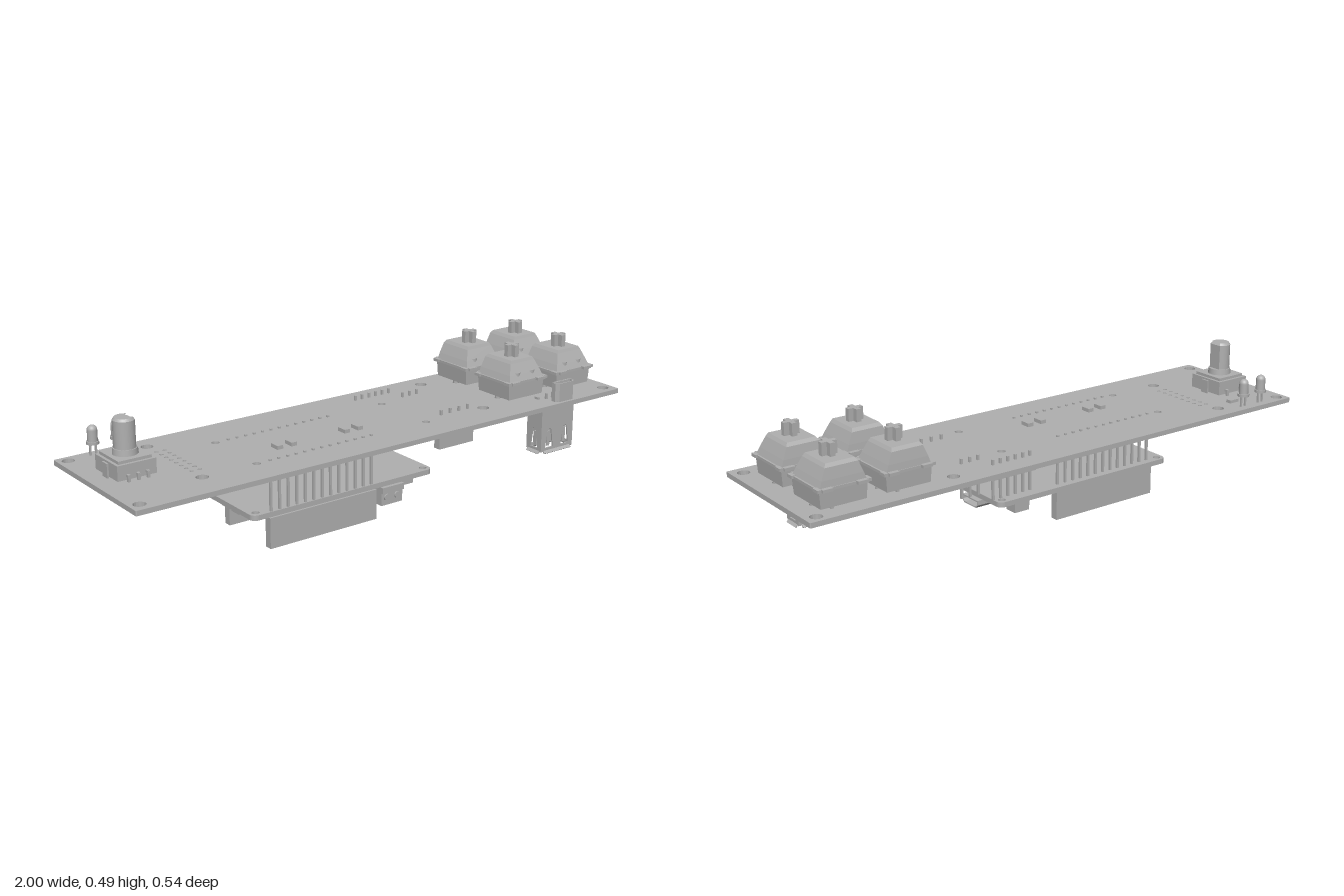
import * as THREE from 'three';

export function createModel() {
  const model = new THREE.Group();
  const grey = new THREE.MeshStandardMaterial({ color: 0xb0b0b0 });
  grey.name = 'plain grey';

  const add = (name, geo, x = 0, y = 0, z = 0, parent = model) => {
    const m = new THREE.Mesh(geo, grey);
    m.name = name;
    m.position.set(x, y, z);
    parent.add(m);
    return m;
  };
  const group = (name, x = 0, y = 0, z = 0) => {
    const g = new THREE.Group();
    g.name = name;
    g.position.set(x, y, z);
    model.add(g);
    return g;
  };
  // box given by its limits on each axis
  const block = (name, x0, x1, y0, y1, z0, z1, parent) =>
    add(name, new THREE.BoxGeometry(x1 - x0, y1 - y0, z1 - z0), (x0 + x1) / 2, (y0 + y1) / 2, (z0 + z1) / 2, parent);
  const pin = (name, x, z, y0, y1, w = 0.008, parent) =>
    block(name, x - w / 2, x + w / 2, y0, y1, z - w / 2, z + w / 2, parent);
  const rod = (name, x, z, y0, y1, r0, r1 = r0, parent) =>
    add(name, new THREE.CylinderGeometry(r1, r0, y1 - y0, 20), x, (y0 + y1) / 2, z, parent);
  const row = (n, a, b, fn) => {
    for (let i = 0; i < n; i++) fn(a + (b - a) * i / (n - 1));
  };

  // tapered box: limits [x0, x1, z0, z1] at the bottom and at the top
  const taper = (name, y0, b, y1, t, parent) => {
    const geo = new THREE.BoxGeometry(2, 2, 2).toNonIndexed();
    const p = geo.attributes.position;
    for (let i = 0; i < p.count; i++) {
      const up = p.getY(i) > 0, r = up ? t : b;
      p.setXYZ(i, r[p.getX(i) > 0 ? 1 : 0], up ? y1 : y0, r[p.getZ(i) > 0 ? 3 : 2]);
    }
    geo.computeVertexNormals();
    return add(name, geo, 0, 0, 0, parent);
  };

  // rounded circuit board with round holes [x, z, radius]
  const board = (name, x0, x1, z0, z1, y, h, r, holes) => {
    const s = new THREE.Shape();
    s.absarc(x1 - r, -z0 - r, r, 0, Math.PI / 2);
    s.absarc(x0 + r, -z0 - r, r, Math.PI / 2, Math.PI);
    s.absarc(x0 + r, -z1 + r, r, Math.PI, Math.PI * 1.5);
    s.absarc(x1 - r, -z1 + r, r, Math.PI * 1.5, Math.PI * 2);
    for (const [hx, hz, hr] of holes) {
      s.holes.push(new THREE.Path().absarc(hx, -hz, hr, 0, Math.PI * 2, true));
    }
    const geo = new THREE.ExtrudeGeometry(s, { depth: h, bevelEnabled: false, curveSegments: 8 });
    geo.rotateX(-Math.PI / 2);
    return add(name, geo, 0, y, 0);
  };

  const TOP = 0.297, UNDER = 0.28;
  const keys = [];
  for (const x of [0.63, 0.86]) for (const z of [-0.145, 0.087]) keys.push([x, z]);

  // main board
  const holes = [];
  for (const x of [-0.965, 0.96]) for (const z of [-0.235, 0.228]) holes.push([x, z, 0.021]);
  for (const x of [-0.7, 0.45]) for (const z of [-0.203, 0.145]) holes.push([x, z, 0.021]);
  for (const x of [-0.5, 0.19]) for (const z of [-0.103, 0.145]) holes.push([x, z, 0.014]);
  for (const x of [-0.7, -0.67]) row(8, -0.14, 0.08, z => holes.push([x, z, 0.007]));
  for (const [x, z] of keys) holes.push([x, z, 0.026], [x - 0.06, z, 0.012], [x + 0.06, z, 0.012]);
  board('mainBoard', -1, 1, -0.27, 0.27, UNDER, TOP - UNDER, 0.004, holes);

  // small surface chips
  for (const x of [-0.365, -0.31, -0.095, -0.04]) block('surfaceChip', x - 0.011, x + 0.011, TOP, 0.31, 0.04, 0.078);
  block('surfaceChip', -0.815, -0.775, TOP, 0.308, -0.19, -0.168);

  // lower board with its headers
  const corners = [];
  for (const x of [-0.5, 0.19]) for (const z of [-0.103, 0.13]) corners.push([x, z, 0.013]);
  board('lowerBoard', -0.525, 0.215, -0.127, 0.155, 0.107, 0.018, 0.022, corners);
  for (const z of [-0.1, 0.148]) {
    block('headerSocket', -0.465, -0.035, 0, 0.107, z - 0.014, z + 0.014);
    row(13, -0.452, -0.048, x => pin('headerPin', x, z, 0.1, 0.303));
  }

  // battery plug under the lower board
  const plug = new THREE.Shape([[-0.077, 0.107], [-0.168, 0.107], [-0.168, 0.085], [-0.16, 0.085],
    [-0.16, 0.04], [-0.097, 0.04], [-0.097, 0.057], [-0.077, 0.068]].map(p => new THREE.Vector2(...p)));
  const plugGeo = new THREE.ExtrudeGeometry(plug, { depth: 0.09, bevelEnabled: false });
  plugGeo.rotateY(Math.PI / 2);
  add('batteryPlug', plugGeo, -0.013);
  for (const x of [0.01, 0.054]) {
    const c = add('plugContact', new THREE.CylinderGeometry(0.012, 0.012, 0.006, 16), x, 0.068, 0.162);
    c.rotation.x = Math.PI / 2;
  }

  // chips under the lower board: [x0, x1, y, z0, z1]
  for (const [x0, x1, y, z0, z1] of [
    [-0.51, -0.465, 0.092, 0.0, 0.05], [-0.4, -0.3, 0.094, -0.04, 0.06], [-0.24, -0.16, 0.096, -0.02, 0.06],
    [-0.1, -0.03, 0.096, -0.05, 0.02], [0.0, 0.05, 0.094, -0.05, 0.0], [0.085, 0.145, 0.07, -0.116, -0.068],
    [0.09, 0.12, 0.088, -0.05, -0.03], [0.09, 0.14, 0.085, 0.09, 0.14], [-0.51, -0.475, 0.094, -0.06, -0.03]
  ]) block('lowerChip', x0, x1, y, 0.107, z0, z1);

  // hollow trapezoid socket shell, extruded along +z
  const socketShape = (w, h) => [[-w, h], [-w, -h * 0.2], [-w * 0.75, -h], [w * 0.75, -h], [w, -h * 0.2], [w, h]]
    .map(p => new THREE.Vector2(...p));
  const socket = (w, h, len) => {
    const s = new THREE.Shape(socketShape(w, h));
    s.holes.push(new THREE.Path(socketShape(w - 0.004, h - 0.004)));
    return new THREE.ExtrudeGeometry(s, { depth: len, bevelEnabled: false });
  };

  // small socket on the end of the lower board
  const side = group('endSocket', 0, 0.089, 0.026);
  add('shell', socket(0.045, 0.014, 0.08).rotateY(Math.PI / 2), 0.15, 0, 0, side);
  block('back', 0.15, 0.17, -0.01, 0.013, -0.038, 0.038, side);
  block('tongue', 0.15, 0.215, -0.001, 0.004, -0.03, 0.03, side);

  // small upright socket on the main board
  const upright = group('uprightSocket', 0.742, 0, 0.245);
  add('shell', socket(0.044, 0.014, 0.068).rotateX(-Math.PI / 2), 0, TOP, 0, upright);
  block('base', -0.038, 0.038, TOP, 0.32, -0.012, 0.009, upright);
  block('tongue', -0.03, 0.03, TOP, 0.355, -0.003, 0.003, upright);
  for (const s of [-1, 1]) block('lip', s * 0.02 - 0.016, s * 0.02 + 0.016, 0.355, 0.365, -0.017, -0.012, upright);
  row(4, 0.7, 0.79, x => pin('socketPin', x, 0.202, 0.27, 0.318));

  // large hanging socket with slotted walls
  const hang = group('hangingSocket', 0.742, 0, 0.184);
  const wall = (width, slots) => {
    const w = width / 2;
    const s = new THREE.Shape([[-w, 0.105], [w, 0.105], [w, 0.28], [-w, 0.28]].map(p => new THREE.Vector2(...p)));
    for (const c of slots) {
      s.holes.push(new THREE.Path([[c - 0.019, 0.118], [c - 0.009, 0.185], [c, 0.191], [c + 0.009, 0.185],
        [c + 0.019, 0.118]].map(p => new THREE.Vector2(...p))));
    }
    return new THREE.ExtrudeGeometry(s, { depth: 0.005, bevelEnabled: false });
  };
  // spring tongue left inside each slot
  const spring = (x, z, a) => {
    const m = add('spring', new THREE.BoxGeometry(0.013, 0.055, 0.004), x, 0.15, z, hang);
    m.rotation.y = a;
  };
  for (const s of [-1, 1]) {
    add('broadWall', wall(0.155, [-0.038, 0.038]), 0, 0, s * 0.0355 - 0.0025, hang);
    add('narrowWall', wall(0.076, [0]).rotateY(Math.PI / 2), s * 0.075 - 0.0025, 0, 0, hang);
    for (const c of [-0.038, 0.038]) spring(c, s * 0.031, 0);
    spring(s * 0.07, 0, Math.PI / 2);
    const lip = add('broadLip', new THREE.BoxGeometry(0.13, 0.012, 0.004), 0, 0.103, s * 0.04, hang);
    lip.rotation.x = -s * 0.7;
    const lip2 = add('narrowLip', new THREE.BoxGeometry(0.004, 0.012, 0.06), s * 0.08, 0.103, 0, hang);
    lip2.rotation.z = s * 0.7;
    block('mountTab', s * 0.07 - 0.004, s * 0.07 + 0.004, 0.265, 0.305, -0.01, 0.01, hang);
  }
  block('base', -0.075, 0.075, 0.24, 0.28, -0.035, 0.035, hang);
  block('tongue', -0.06, 0.06, 0.125, 0.245, -0.022, -0.006, hang);

  // headers hanging from the main board
  block('smallSocket', 0.26, 0.415, 0.178, UNDER, 0.107, 0.135);
  row(4, 0.28, 0.4, x => pin('smallSocketPin', x, 0.118, 0.27, 0.315));
  for (const [n, x0, x1, z] of [[6, 0.14, 0.29, -0.192], [3, 0.3, 0.365, -0.123]]) {
    block('pinHeaderBase', x0 - 0.014, x1 + 0.014, 0.248, UNDER, z - 0.015, z + 0.015);
    row(n, x0, x1, x => pin('pinHeaderPin', x, z, 0.177, 0.315));
  }

  // key switches
  for (const [x, z] of keys) {
    const k = group('keySwitch', x, 0, z);
    taper('lowerHousing', 0.31, [-0.079, 0.079, -0.081, 0.081], 0.365, [-0.083, 0.083, -0.083, 0.083], k);
    block('flange', -0.086, 0.086, 0.365, 0.374, -0.086, 0.086, k);
    for (const s of [-1, 1]) for (const t of [-1, 1]) {
      block('tab', s * 0.06 - 0.018, s * 0.06 + 0.018, 0.366, 0.376, t * 0.09 - 0.008, t * 0.09 + 0.008, k);
      block('tab', s * 0.086 - 0.007, s * 0.086 + 0.007, 0.366, 0.376, t * 0.078 - 0.014, t * 0.078 + 0.014, k);
    }
    taper('upperHousing', 0.374, [-0.08, 0.08, -0.083, 0.083], 0.397, [-0.072, 0.072, -0.081, 0.074], k);
    taper('upperHousing', 0.397, [-0.072, 0.072, -0.081, 0.074], 0.434, [-0.057, 0.057, -0.076, 0.058], k);
    taper('housingTop', 0.434, [-0.057, 0.057, -0.076, 0.058], 0.445, [-0.05, 0.05, -0.068, 0.054], k);
    for (const s of [-1, 1]) rod('lampGuide', s * 0.034, 0.058, 0.374, 0.402, 0.019, 0.019, k);
    block('stem', -0.027, 0.027, 0.44, 0.488, -0.009, 0.009, k);
    block('stem', -0.009, 0.009, 0.44, 0.4878, -0.028, 0.028, k);
    rod('centrePeg', 0, 0, 0.274, 0.312, 0.022, 0.024, k);
    for (const s of [-1, 1]) rod('sidePeg', s * 0.06, 0, 0.278, 0.312, 0.01, 0.01, k);
    pin('contact', -0.045, -0.03, 0.27, 0.312, 0.01, k);
    pin('contact', 0.03, -0.06, 0.27, 0.312, 0.01, k);
  }

  // rotary knob encoder
  const enc = group('encoder', -0.867, 0, -0.033);
  block('body', -0.068, 0.068, 0.302, 0.352, -0.072, 0.072, enc);
  block('cover', -0.058, 0.058, 0.352, 0.362, -0.062, 0.062, enc);
  rod('collar', 0, 0, 0.36, 0.382, 0.042, 0.04, enc);
  // shaft has a flat on its left side
  const dee = new THREE.Shape();
  dee.absarc(0, 0, 0.036, 0.75, Math.PI * 2 - 0.75);
  const deeGeo = new THREE.ExtrudeGeometry(dee, { depth: 0.092, bevelEnabled: false, curveSegments: 20 });
  add('shaft', deeGeo.rotateX(-Math.PI / 2), 0, 0.38, 0, enc);
  const capGeo = new THREE.CylinderGeometry(0.03, 0.036, 0.008, 24, 1, false, Math.PI / 2 + 0.75, Math.PI * 2 - 1.5);
  add('shaftTop', capGeo, 0, 0.476, 0, enc);
  for (const s of [-1, 1]) {
    block('clip', s * 0.071 - 0.003, s * 0.071 + 0.003, 0.268, 0.345, -0.016, 0.016, enc);
    rod('clipFoot', s * 0.074, 0, 0.258, 0.29, 0.008, 0.011, enc);
  }
  for (const x of [-0.034, 0, 0.034]) {
    pin('leg', x, 0.08, 0.27, 0.318, 0.009, enc);
    block('legArm', x - 0.005, x + 0.005, 0.312, 0.32, 0.07, 0.084, enc);
  }
  for (const x of [-0.034, 0.034]) {
    pin('leg', x, -0.08, 0.27, 0.318, 0.009, enc);
    block('legArm', x - 0.005, x + 0.005, 0.312, 0.32, -0.084, -0.07, enc);
  }

  // two indicator lamps on legs
  for (const x of [-0.875, -0.79]) {
    const lamp = group('lamp', x, 0, -0.238);
    rod('rim', 0, 0, 0.335, 0.345, 0.021, 0.021, lamp);
    rod('bulb', 0, 0, 0.345, 0.382, 0.017, 0.017, lamp);
    add('dome', new THREE.SphereGeometry(0.017, 20, 8, 0, Math.PI * 2, 0, Math.PI / 2), 0, 0.382, 0, lamp);
    for (const s of [-1, 1]) pin('leg', s * 0.01, 0, 0.268, 0.336, 0.006, lamp);
  }
  return model;
}
